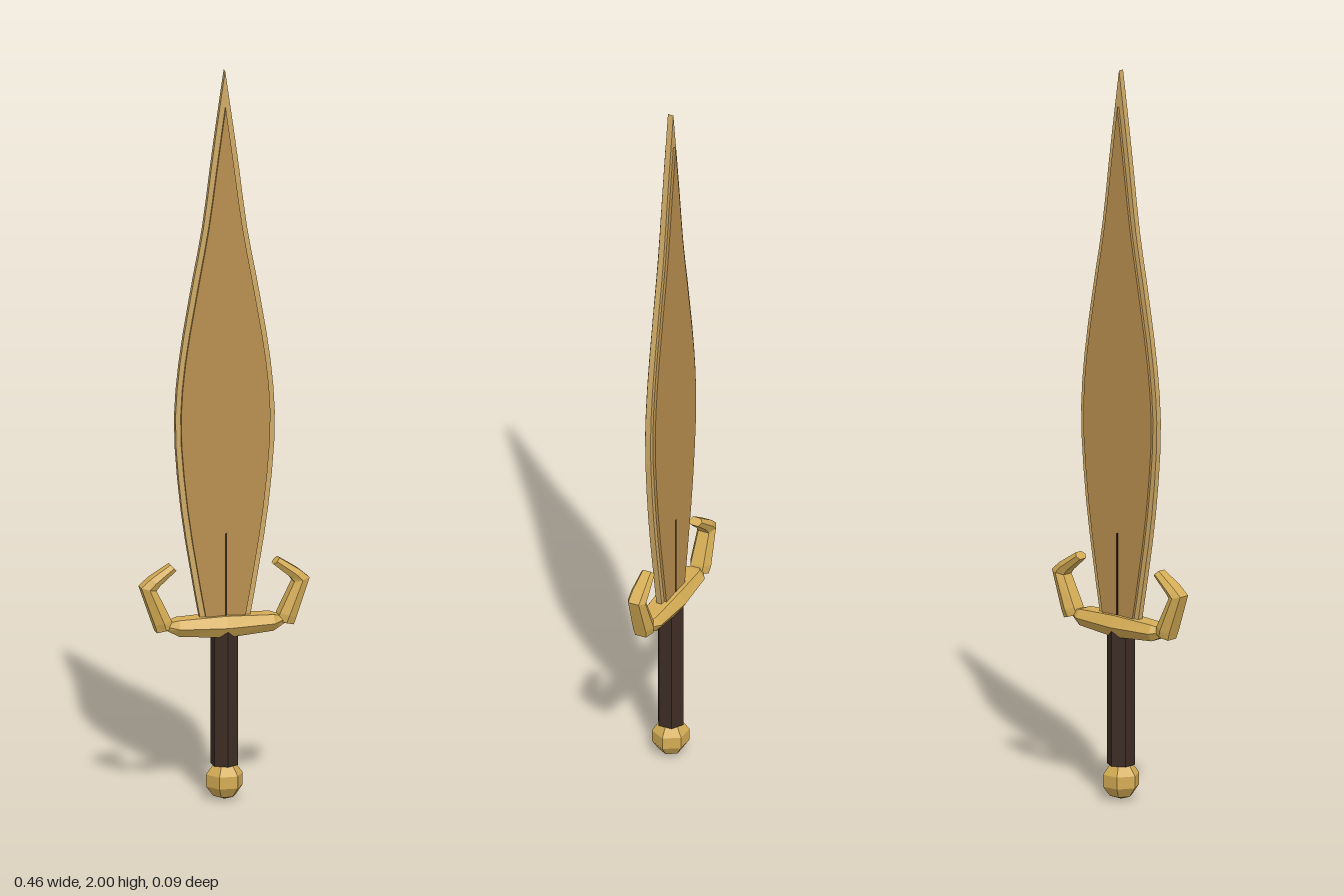
import * as THREE from 'three';

const material = (color) => new THREE.MeshStandardMaterial({ color, flatShading: true });

function addMesh(parent, name, geometry, mat) {
  const mesh = new THREE.Mesh(geometry, mat);
  mesh.name = name;
  parent.add(mesh);
  return mesh;
}

// Flat symmetric leaf from [halfWidth, y] points, bottom to tip, centred on z = 0
function leaf(profile, thickness) {
  const side = new THREE.SplineCurve(profile.map(([x, y]) => new THREE.Vector2(x, y))).getPoints(20);
  const left = side.slice(0, -1).reverse().map((p) => new THREE.Vector2(-p.x, p.y));
  const geometry = new THREE.ExtrudeGeometry(new THREE.Shape([...side, ...left]), {
    depth: thickness, bevelEnabled: false,
  });
  return geometry.translate(0, 0, -thickness / 2);
}

// Six-sided loft; each section is [ax, ay, bx, by, halfDepth] with a ridge midway from a to b
function loft(sections) {
  const positions = [];
  const index = [];
  for (const [ax, ay, bx, by, d] of sections) {
    for (const [t, z] of [[0, 0.6], [0.5, 1], [1, 0.6], [1, -0.6], [0.5, -1], [0, -0.6]]) {
      positions.push(ax + (bx - ax) * t, ay + (by - ay) * t, z * d);
    }
  }
  const last = (sections.length - 1) * 6;
  for (let s = 0; s < last; s += 6) {
    for (let i = 0; i < 6; i++) {
      const j = (i + 1) % 6;
      index.push(s + i, s + 6 + i, s + 6 + j, s + i, s + 6 + j, s + j);
    }
  }
  for (let i = 1; i < 5; i++) {
    index.push(0, i, i + 1, last, last + i + 1, last + i);
  }
  const geometry = new THREE.BufferGeometry();
  geometry.setAttribute('position', new THREE.Float32BufferAttribute(positions, 3));
  geometry.setIndex(index);
  const flat = geometry.toNonIndexed();
  flat.computeVertexNormals();
  return flat;
}

export function createModel() {
  const sword = new THREE.Group();
  sword.name = 'sword';
  const gold = material(0xd4ac55);
  const edge = material(0xcfaa66);
  const bronze = material(0xb98f4e);
  const leather = material(0x3d2c24);
  const dark = material(0x2e2418);

  // Leaf-shaped blade: thin cutting edge with a thicker plate inside
  const blade = new THREE.Group();
  blade.name = 'blade';
  sword.add(blade);
  addMesh(blade, 'bladeEdge', leaf([
    [0.065, 0.48], [0.087, 0.6], [0.119, 0.8], [0.137, 1.02], [0.125, 1.2],
    [0.092, 1.4], [0.06, 1.57], [0.032, 1.78], [0, 2],
  ], 0.016), edge);
  addMesh(blade, 'bladePlate', leaf([
    [0.05, 0.48], [0.072, 0.6], [0.104, 0.8], [0.123, 1.02], [0.111, 1.2],
    [0.077, 1.4], [0.046, 1.57], [0.021, 1.75], [0, 1.9],
  ], 0.03), bronze);

  // Narrow centre line on both faces
  addMesh(blade, 'centreLine', new THREE.BoxGeometry(0.005, 0.25, 0.033), dark).position.y = 0.607;

  // Crossguard with curled arms
  const guard = new THREE.Group();
  guard.name = 'crossguard';
  sword.add(guard);
  addMesh(guard, 'guardBar', loft([
    [-0.165, 0.475, -0.155, 0.495, 0.017],
    [-0.13, 0.458, -0.13, 0.502, 0.037],
    [0, 0.448, 0, 0.507, 0.045],
    [0.13, 0.458, 0.13, 0.502, 0.037],
    [0.165, 0.475, 0.155, 0.495, 0.017],
  ]), gold);

  const armGeometry = loft([
    [0.188, 0.469, 0.143, 0.483, 0.027],
    [0.195, 0.49, 0.15, 0.503, 0.031],
    [0.232, 0.595, 0.19, 0.585, 0.026],
    [0.205, 0.618, 0.18, 0.598, 0.026],
    [0.15, 0.653, 0.134, 0.636, 0.019],
  ]);
  for (const side of [1, -1]) {
    const arm = addMesh(guard, side > 0 ? 'leftGuardArm' : 'rightGuardArm', armGeometry, gold);
    arm.rotation.y = side > 0 ? 0 : Math.PI;
    arm.position.z = -0.004;
  }

  // Six-sided grip
  addMesh(sword, 'grip', new THREE.CylinderGeometry(0.038, 0.038, 0.37, 6), leather).position.y = 0.28;

  // Faceted pommel
  addMesh(sword, 'pommel', new THREE.SphereGeometry(0.053, 6, 5), gold).position.y = 0.053;

  return sword;
}
